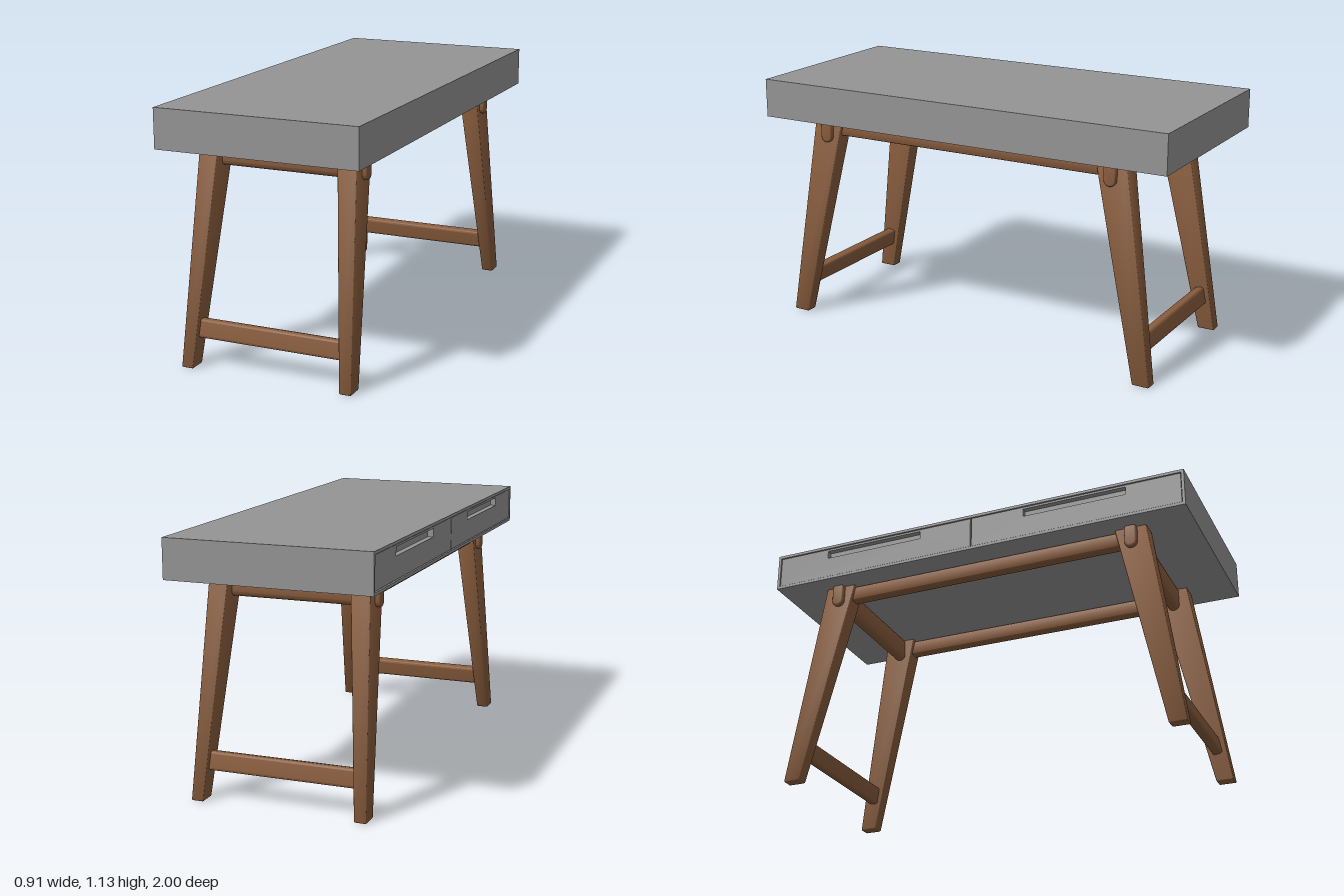
import * as THREE from 'three';
import { RoundedBoxGeometry } from 'three/addons/geometries/RoundedBoxGeometry.js';
import { mergeVertices, toCreasedNormals } from 'three/addons/utils/BufferGeometryUtils.js';

const lerp = THREE.MathUtils.lerp;
const TOP_Y = 1.135, UNDER_Y = 0.96, HALF_X = 0.455;

// Leg that tapers and splays outward from top to floor
function legGeometry(sx, sz) {
  let g = new RoundedBoxGeometry(1, UNDER_Y, 1, 2, 0.006);
  const p = g.attributes.position, r = 0.006;
  // keep the edge rounding the same size while the section is resized
  const fit = (v, w) => Math.sign(v) * Math.max(0, w / 2 - (0.5 - Math.abs(v)));
  for (let i = 0; i < p.count; i++) {
    const y = p.getY(i) + UNDER_Y / 2, t = y / UNDER_Y;
    const x = fit(p.getX(i), lerp(0.055, 0.088, t));
    const z = fit(p.getZ(i), lerp(0.08, 0.145, t));
    p.setXYZ(i, x + sx * lerp(0.3675, 0.3145, t), y, z + sz * lerp(0.8925, 0.715, t));
  }
  g.deleteAttribute('normal');
  g.deleteAttribute('uv');
  return toCreasedNormals(mergeVertices(g, 1e-5), 0.7);
}

// Bar running along z, with its own corner radius at top and bottom
function barGeometry(w, h, length, rTop, rBottom, bevel) {
  const a = w / 2 - bevel, b = h / 2 - bevel;
  const s = new THREE.Shape();
  s.moveTo(-a + rBottom, -b);
  s.lineTo(a - rBottom, -b);
  s.absarc(a - rBottom, -b + rBottom, rBottom, -Math.PI / 2, 0, false);
  s.absarc(a - rTop, b - rTop, rTop, 0, Math.PI / 2, false);
  s.absarc(-a + rTop, b - rTop, rTop, Math.PI / 2, Math.PI, false);
  s.absarc(-a + rBottom, -b + rBottom, rBottom, Math.PI, Math.PI * 1.5, false);
  const g = new THREE.ExtrudeGeometry(s, {
    depth: length - 2 * bevel, bevelEnabled: true, bevelSize: bevel,
    bevelThickness: bevel, bevelSegments: 3, curveSegments: 6,
  });
  g.translate(0, 0, -length / 2 + bevel);
  return toCreasedNormals(g, 0.6);
}

// Rectangle path in the plane of the drawer side
function rect(path, x0, y0, x1, y1) {
  path.moveTo(x0, y0);
  path.lineTo(x1, y0);
  path.lineTo(x1, y1);
  path.lineTo(x0, y1);
  path.closePath();
  return path;
}

// Upright panel with holes, turned so that it faces -x
function panelGeometry(outer, holes, depth) {
  const shape = rect(new THREE.Shape(), ...outer);
  for (const h of holes) shape.holes.push(rect(new THREE.Path(), ...h));
  const g = new THREE.ExtrudeGeometry(shape, { depth, bevelEnabled: false });
  g.rotateY(-Math.PI / 2);
  return g;
}

export function createModel() {
  const model = new THREE.Group();
  model.name = 'desk';
  const grey = new THREE.MeshStandardMaterial({ color: 0x949494 });
  grey.name = 'grey paint';
  const wood = new THREE.MeshStandardMaterial({ color: 0x885c3c });
  wood.name = 'brown wood';

  const add = (parent, name, geometry, material, x = 0, y = 0, z = 0) => {
    const m = new THREE.Mesh(geometry, material);
    m.name = name;
    m.position.set(x, y, z);
    parent.add(m);
    return m;
  };

  // Desk box, with a shallow opening on the drawer side
  const recess = 0.03, border = 0.013;
  const desk = new THREE.Group();
  desk.name = 'deskTop';
  model.add(desk);
  add(desk, 'deskBody', new THREE.BoxGeometry(2 * HALF_X - recess, TOP_Y - UNDER_Y, 2),
    grey, recess / 2, (TOP_Y + UNDER_Y) / 2, 0);
  add(desk, 'drawerFrame', panelGeometry([-1, UNDER_Y, 1, TOP_Y],
    [[-1 + border, UNDER_Y + border, 1 - border, TOP_Y - border]], recess),
  grey, -HALF_X + recess);

  // Two drawer fronts, each with a long finger slot
  const gap = 0.003;
  for (const s of [-1, 1]) {
    const inner = gap, outer = 1 - border - gap;
    const z0 = s > 0 ? inner : -outer, z1 = s > 0 ? outer : -inner;
    const mid = s * 0.495;
    add(desk, 'drawerFront', panelGeometry(
      [z0, UNDER_Y + border + gap, z1, TOP_Y - border - gap],
      [[mid - 0.24, 1.073, mid + 0.24, 1.11]], recess - 0.004),
    grey, -HALF_X + recess);
  }

  // Wooden underframe
  const frame = new THREE.Group();
  frame.name = 'underframe';
  frame.position.set(-0.002, 0, 0.0075);
  model.add(frame);

  const apron = barGeometry(0.055, 0.105, 0.766, 0.004, 0.019, 0.008).rotateY(Math.PI / 2);
  const stretcher = barGeometry(0.045, 0.083, 0.69, 0.006, 0.006, 0.006).rotateY(Math.PI / 2);
  const rail = barGeometry(0.055, 0.072, 1.38, 0.008, 0.008, 0.006);
  for (const s of [-1, 1]) {
    for (const sz of [-1, 1]) add(frame, 'leg', legGeometry(s, sz), wood);
    add(frame, 'crossRail', apron, wood, 0, 0.9065, s * 0.719);
    add(frame, 'longRail', rail, wood, s * 0.317, 0.92, 0);
    // stretchers lean with the legs
    add(frame, 'stretcher', stretcher, wood, 0, 0.166, s * 0.862).rotation.x = -s * 0.18;
  }
  return model;
}
